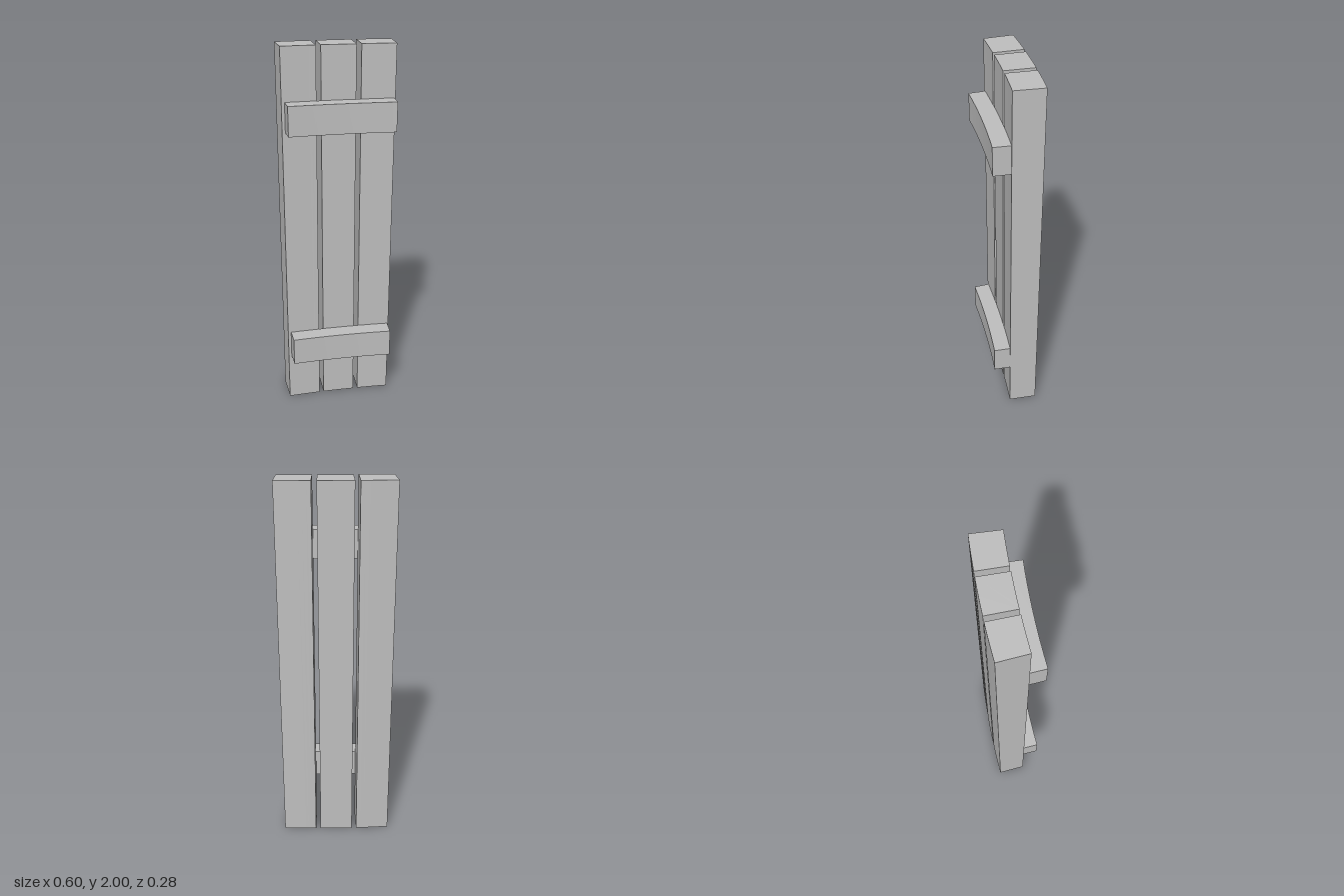
import * as THREE from 'three';
import { toCreasedNormals } from 'three/addons/utils/BufferGeometryUtils.js';

const RADIUS = 4.2; // plan curvature shared by the planks and battens

// Upright block from four plan corners [x, z]: back left, back right, front right, front left.
// Its back and front edges follow the gentle arc, bowing towards -z.
function curvedBlock(name, [bl, br, fr, fl], y0, y1, material) {
  const control = (a, b) => {
    const sag = (a[0] - b[0]) ** 2 / (8 * RADIUS);
    return [(a[0] + b[0]) / 2, -(a[1] + b[1]) / 2 + 2 * sag];
  };
  const shape = new THREE.Shape();
  shape.moveTo(fl[0], -fl[1]);
  shape.quadraticCurveTo(...control(fl, fr), fr[0], -fr[1]);
  shape.lineTo(br[0], -br[1]);
  shape.quadraticCurveTo(...control(br, bl), bl[0], -bl[1]);
  shape.closePath();

  const extruded = new THREE.ExtrudeGeometry(shape, {
    depth: y1 - y0, bevelEnabled: false, curveSegments: 8,
  });
  extruded.rotateX(-Math.PI / 2);
  extruded.translate(0, y0, 0);
  const mesh = new THREE.Mesh(toCreasedNormals(extruded, 0.5), material);
  mesh.name = name;
  return mesh;
}

export function createModel() {
  const model = new THREE.Group();
  model.name = 'curvedPlankPanel';
  const grey = new THREE.MeshStandardMaterial({ color: 0xc0c0c0 });
  grey.name = 'plain grey';

  // Three full-height planks
  const planks = {
    rightPlank: [[-0.298, -0.097], [-0.117, -0.119], [-0.103, 0.034], [-0.277, 0.053]],
    middlePlank: [[-0.091, -0.121], [0.089, -0.134], [0.097, 0.019], [-0.079, 0.031]],
    leftPlank: [[0.115, -0.135], [0.295, -0.14], [0.297, 0.012], [0.122, 0.017]],
  };
  for (const [name, corners] of Object.entries(planks)) {
    model.add(curvedBlock(name, corners, 0, 2, grey));
  }

  // Two battens across the front
  const batten = [[-0.261, 0.051], [0.291, 0.012], [0.293, 0.1], [-0.25, 0.137]];
  model.add(curvedBlock('lowerBatten', batten, 0.275, 0.428, grey));
  model.add(curvedBlock('upperBatten', batten, 1.578, 1.73, grey));
  return model;
}
